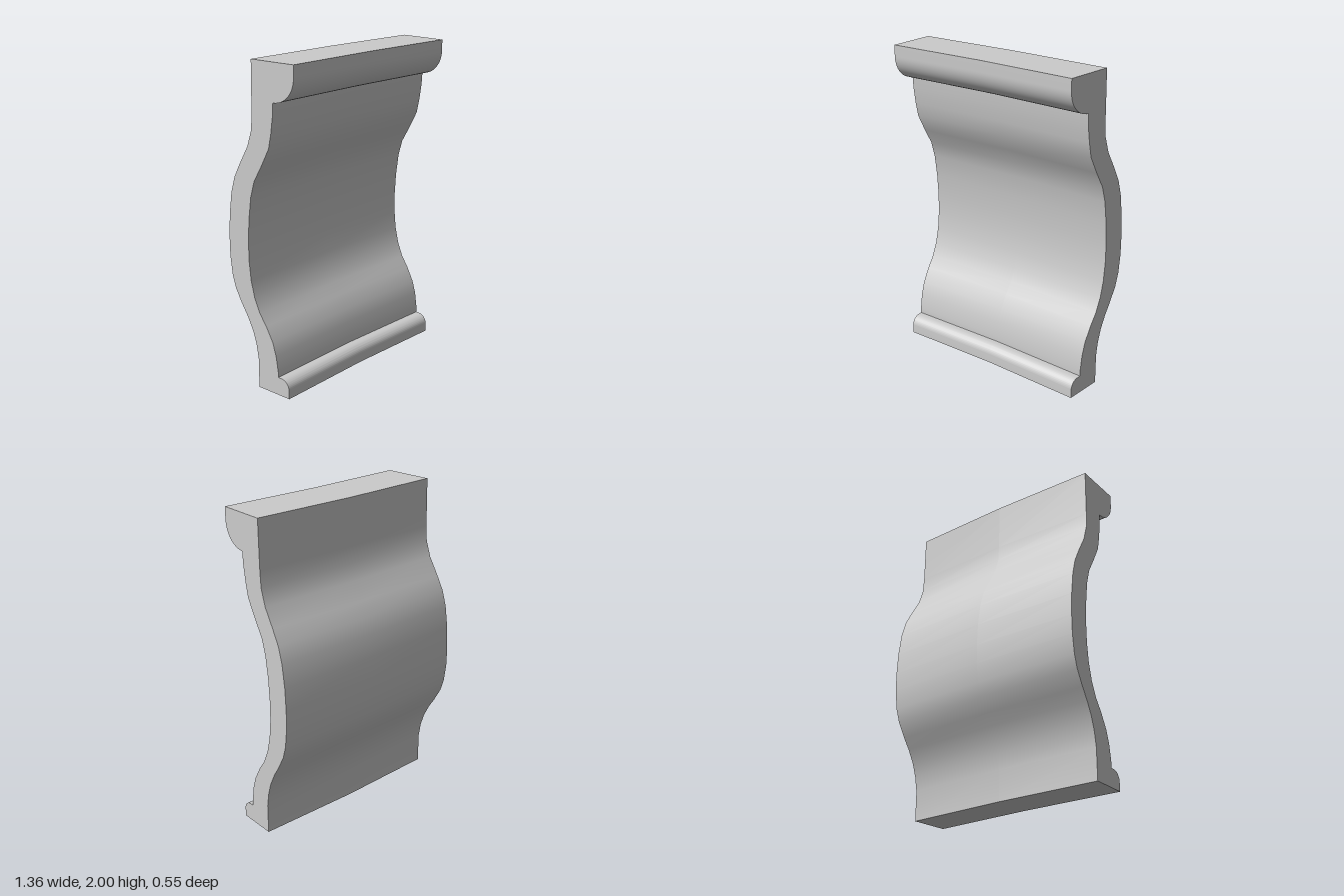
import * as THREE from 'three';
import { toCreasedNormals } from 'three/addons/utils/BufferGeometryUtils.js';

// Moulding cross-section as seen from the end: first value is depth (z), second is height (y)
const frontCurve = [
  [0.115, 1.7], [0.1, 1.6], [0.08, 1.51], [0.02, 1.4], [-0.04, 1.3], [-0.07, 1.2],
  [-0.09, 1.06], [-0.099, 0.92], [-0.098, 0.8], [-0.085, 0.68], [-0.06, 0.58],
  [-0.02, 0.49], [0.03, 0.42], [0.08, 0.33], [0.105, 0.25], [0.12, 0.15], [0.12, 0.115],
];
const backCurve = [
  [-0.04, 0], [-0.04, 0.19], [-0.055, 0.28], [-0.08, 0.36], [-0.12, 0.44], [-0.165, 0.51],
  [-0.215, 0.6], [-0.24, 0.68], [-0.255, 0.8], [-0.256, 0.92], [-0.248, 1.06],
  [-0.228, 1.2], [-0.198, 1.3], [-0.15, 1.39], [-0.085, 1.5], [-0.052, 1.6], [-0.045, 1.7], [-0.04, 2],
];

function createProfile() {
  const shape = new THREE.Shape();
  shape.moveTo(0.275, 2);
  shape.lineTo(0.275, 1.93);
  shape.absarc(0.12, 1.93, 0.155, 0, -Math.PI / 2, true); // top bead
  frontCurve.forEach(([z, y]) => shape.lineTo(z, y));
  shape.lineTo(0.145, 0.115);
  shape.absarc(0.145, 0.055, 0.06, Math.PI / 2, 0, true); // bottom bead
  shape.lineTo(0.205, 0);
  backCurve.forEach(([z, y]) => shape.lineTo(z, y));
  shape.closePath();
  return shape;
}

export function createModel() {
  const group = new THREE.Group();
  group.name = 'curvedMoulding';

  const geometry = new THREE.ExtrudeGeometry(createProfile(), {
    depth: 2, steps: 2, curveSegments: 10, bevelEnabled: false,
  });

  // Turn the extrusion sideways, bow it back at the middle and splay the ends
  const pos = geometry.attributes.position;
  for (let i = 0; i < pos.count; i++) {
    const depth = pos.getX(i);
    const along = 1 - pos.getZ(i);
    const x = along * (0.668 - 0.047 * depth);
    const z = depth - 0.0155 * (1 - Math.abs(along));
    pos.setXYZ(i, x, pos.getY(i), z);
  }

  const material = new THREE.MeshStandardMaterial({ color: 0xcccccc });
  const panel = new THREE.Mesh(toCreasedNormals(geometry, 0.65), material);
  panel.name = 'mouldingSegment';
  group.add(panel);
  return group;
}
